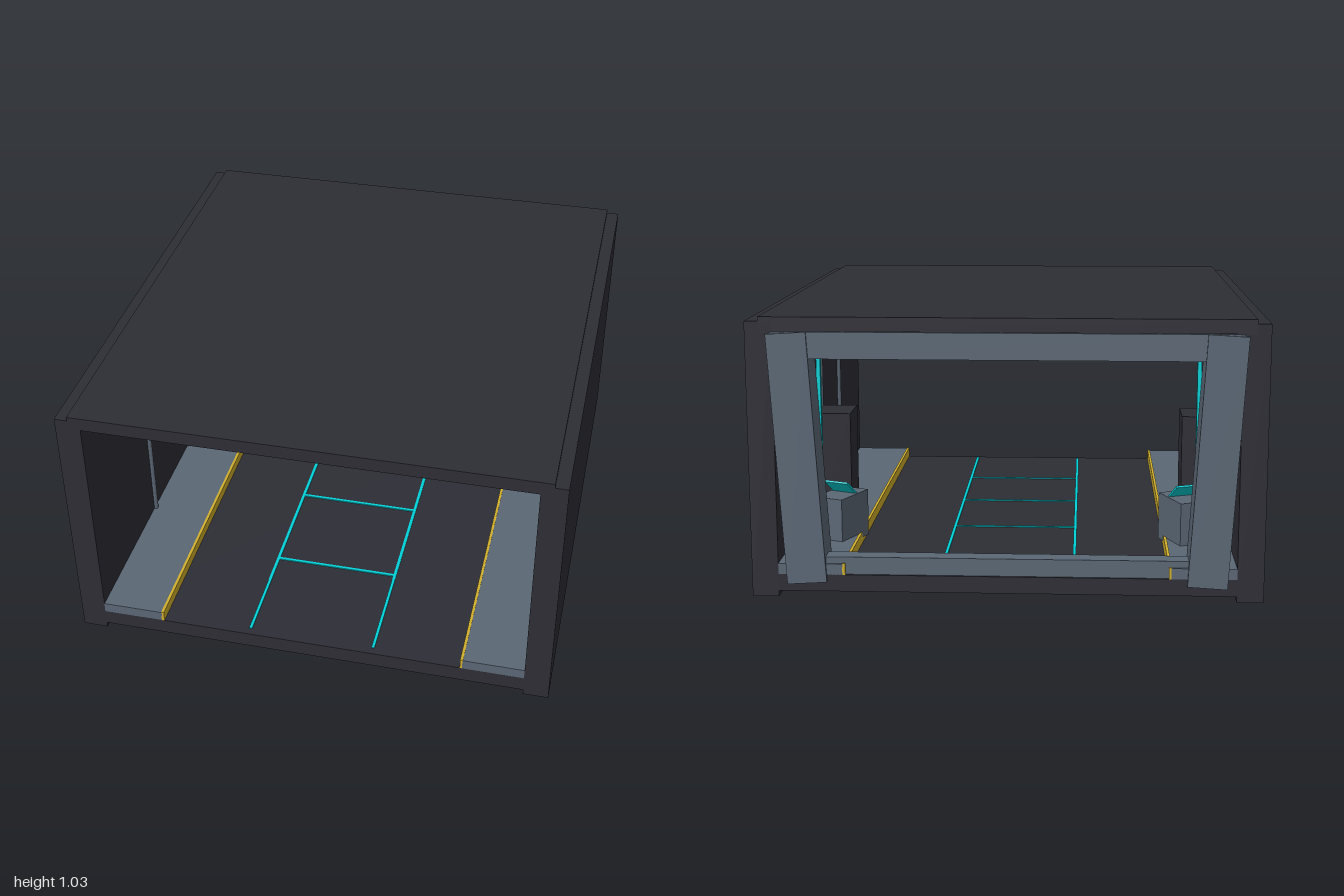
import * as THREE from 'three';

const material = (name, color) => {
  const m = new THREE.MeshStandardMaterial({ color });
  m.name = name;
  return m;
};

export function createModel() {
  const hull = material('dark hull', 0x2d2d35);
  const steel = material('grey steel', 0x5b6775);
  const cyan = material('cyan light', 0x00d2d8);
  const yellow = material('safety yellow', 0xd2b02c);

  const model = new THREE.Group();
  model.name = 'hangarBay';

  // Box given by its minimum and maximum corners
  const box = (name, mat, [x0, x1], [y0, y1], [z0, z1], parent = model) => {
    const mesh = new THREE.Mesh(
      new THREE.BoxGeometry(Math.abs(x1 - x0), y1 - y0, z1 - z0), mat);
    mesh.position.set((x0 + x1) / 2, (y0 + y1) / 2, (z0 + z1) / 2);
    mesh.name = name;
    parent.add(mesh);
    return mesh;
  };
  const full = [-0.988, 1];

  // Shell
  box('floor', hull, [-0.835, 0.835], [0.022, 0.085], full);
  box('roof', hull, [-0.883, 0.883], [0.98, 1.032], full);

  // Ceiling beams
  for (const z of [-0.68, -0.28, 0.12, 0.52])
    box('ceilingBeam', hull, [-0.835, 0.835], [0.933, 0.981], [z - 0.05, z + 0.05]);

  // Floor guide markings
  for (const z of [-0.3, 0.13, 0.55])
    box('crossMarking', cyan, [-0.24, 0.24], [0.085, 0.089], [z - 0.006, z + 0.006]);

  // Rear doorway header and sill
  box('doorHeader', steel, [-0.84, 0.84], [0.882, 0.979], [-0.993, -0.87]);
  box('headerLight', cyan, [-0.69, 0.69], [0.875, 0.883], [-0.88, -0.86]);
  box('doorSill', steel, [-0.67, 0.67], [0.085, 0.15], [-0.98, -0.91]);

  // Mirrored side parts
  for (const s of [1, -1]) {
    const side = new THREE.Group();
    side.name = s > 0 ? 'leftSide' : 'rightSide';
    model.add(side);
    const sideBox = (name, mat, [x0, x1], y, z) =>
      box(name, mat, [s * x0, s * x1], y, z, side);

    sideBox('wall', hull, [0.835, 0.932], [0, 1.016], full);
    sideBox('walkway', steel, [0.598, 0.836], [0.084, 0.125], full);
    sideBox('walkwayEdge', yellow, [0.589, 0.6], [0.084, 0.127], full);
    sideBox('guideMarking', cyan, [0.239, 0.251], [0.085, 0.089], [-0.9, 0.97]);
    sideBox('cabinet', hull, [0.67, 0.81], [0.124, 0.55], [-0.3, -0.11]);

    // Leaning door post with its light strip
    const post = sideBox('doorPost', steel, [0.683, 0.828], [0.054, 0.976], [-1, -0.86]);
    post.rotation.z = -0.06 * s;
    sideBox('postLight', cyan, [0.685, 0.7], [0.2, 0.872], [-0.865, -0.845]);

    // Wall conduits
    for (const z of [-0.5, -0.06, 0.39]) {
      const pipe = new THREE.Mesh(new THREE.CylinderGeometry(0.011, 0.011, 0.86, 8), steel);
      pipe.position.set(0.831 * s, 0.552, z);
      pipe.name = 'wallConduit';
      side.add(pipe);
    }

    // Angled control console with a tilted screen
    const desk = new THREE.Group();
    desk.name = 'controlConsole';
    desk.position.set(0.665 * s, 0, -0.58);
    desk.rotation.y = -0.4 * s;
    side.add(desk);
    box('consoleBody', steel, [-0.061, 0.061], [0.106, 0.29], [-0.097, 0.097], desk);
    const screen = box('consoleScreen', cyan, [-0.052, 0.052], [0.307, 0.315], [-0.05, 0.05], desk);
    screen.rotation.x = 0.68;
  }
  return model;
}
